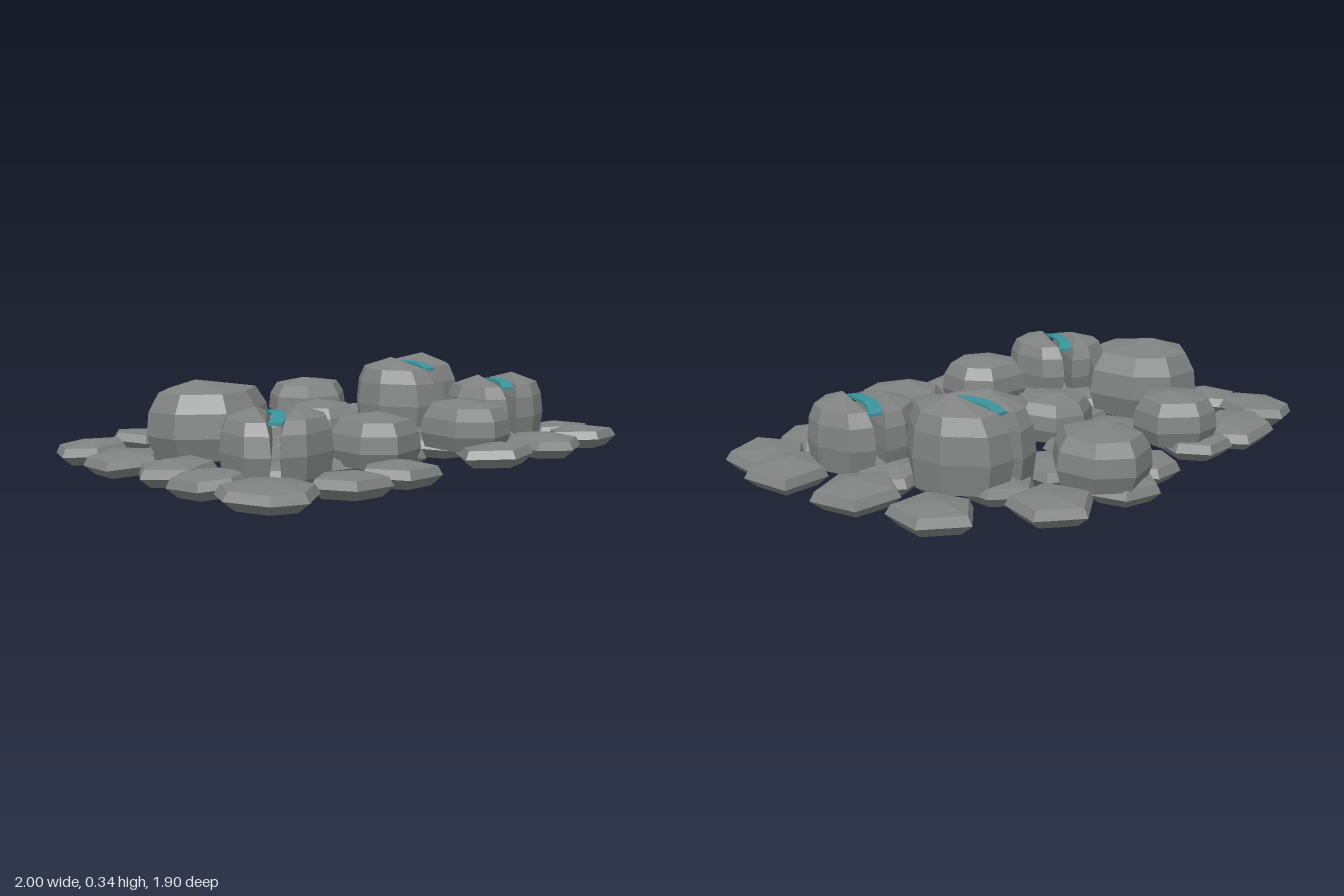
import * as THREE from 'three';

const stoneGrey = new THREE.MeshStandardMaterial({ color: 0x7f8281, flatShading: true });
stoneGrey.name = 'stoneGrey';
const crystalTeal = new THREE.MeshStandardMaterial({ color: 0x39919a, flatShading: true });
crystalTeal.name = 'crystalTeal';

// Seeded generator for small irregularities
let seed = 11;
function jitter(amount) {
  seed = (seed * 16807) % 2147483647;
  return (seed / 2147483647 - 0.5) * 2 * amount;
}

// Lofts an outline [[x, z], ...] through rings [height, scale] about a centre, closed by an apex
function loft(outline, rings, height, center, apex) {
  const pos = [];
  const n = outline.length;
  const point = ([h, s], j) => {
    const [x, z] = outline[j % n];
    return [center[0] + (x - center[0]) * s, h * height, center[1] + (z - center[1]) * s];
  };
  const top = [apex[0], height, apex[1]];
  const bottom = [center[0], 0, center[1]];
  const last = rings.length - 1;
  for (let j = 0; j < n; j++) {
    pos.push(...point(rings[0], j), ...point(rings[0], j + 1), ...bottom);
    for (let i = 0; i < last; i++) {
      const a = point(rings[i], j), b = point(rings[i], j + 1);
      const c = point(rings[i + 1], j), d = point(rings[i + 1], j + 1);
      pos.push(...a, ...c, ...b, ...b, ...c, ...d);
    }
    pos.push(...point(rings[last], j), ...top, ...point(rings[last], j + 1));
  }
  const geo = new THREE.BufferGeometry();
  geo.setAttribute('position', new THREE.Float32BufferAttribute(pos, 3));
  geo.computeVertexNormals();
  return geo;
}

const slabRings = [[0, 0.72], [0.42, 1], [0.78, 0.88]];
const boulderRings = [[0, 0.88], [0.3, 1], [0.62, 0.95], [0.86, 0.78]];
const halfRings = [[0, 0.92], [0.35, 1], [0.66, 0.93], [0.85, 0.76]];

// Irregular many-sided stone; "turn" is the angle of its first corner in degrees
function stone(name, rings, x, y, z, r, sides, turn, height, tilt) {
  const outline = [];
  for (let j = 0; j < sides; j++) {
    const t = THREE.MathUtils.degToRad(turn) + (j / sides) * Math.PI * 2 + jitter(0.1);
    const rr = r * (1 + jitter(0.06));
    outline.push([Math.cos(t) * rr, Math.sin(t) * rr]);
  }
  const apex = [jitter(r * 0.2), jitter(r * 0.2)];
  const mesh = new THREE.Mesh(loft(outline, rings, height, [0, 0], apex), stoneGrey);
  mesh.name = name;
  mesh.position.set(x, y, z);
  mesh.rotation.set(jitter(tilt), 0, jitter(tilt));
  return mesh;
}

// Flat paving stone resting near the ground
function slab(x, z, r, sides, turn) {
  const y = 0.01 + Math.abs(jitter(0.012));
  return stone('flatStone', slabRings, x, y, z, r, sides, turn, 0.08, 0.07);
}

// Boulder cracked into two halves with a wavy crystal vein along the crack
function splitBoulder(x, z, r, top, turn, veinLength) {
  const g = new THREE.Group();
  g.name = 'splitBoulder';
  const base = 0.06, h = top - base, gap = 0.013;
  const outline = [[gap, -0.92 * r], [0.5 * r, -0.88 * r], [0.92 * r, -0.3 * r],
    [0.95 * r, 0.25 * r], [0.5 * r, 0.85 * r], [gap, 0.98 * r]];
  for (let side = 0; side < 2; side++) {
    const geo = loft(outline, halfRings, h * (1 - side * 0.04), [0.42 * r, 0], [0.34 * r, 0.05 * r]);
    const half = new THREE.Mesh(geo, stoneGrey);
    half.name = side ? 'rightHalf' : 'leftHalf';
    half.position.y = base;
    half.rotation.y = side * Math.PI;
    g.add(half);
  }
  const strip = new THREE.BoxGeometry(0.044, 0.009, veinLength, 1, 1, 6);
  const p = strip.attributes.position;
  for (let i = 0; i < p.count; i++) {
    const u = p.getZ(i) / veinLength;
    p.setX(i, p.getX(i) + Math.sin(u * Math.PI * 2) * 0.011);
    p.setY(i, p.getY(i) - u * u * 0.08);
  }
  strip.computeVertexNormals();
  const vein = new THREE.Mesh(strip, crystalTeal);
  vein.name = 'crystalVein';
  vein.position.y = base + h * 0.88;
  g.add(vein);
  g.position.set(x, 0, z);
  g.rotation.y = turn;
  return g;
}

// Flat stones around the rim: x, z, sides, turn
const rimSlabs = [
  [0, -0.81, 5, -57], [0.35, -0.83, 5, -63], [0.57, -0.64, 5, -11], [0.79, -0.41, 5, -22],
  [0.86, -0.28, 5, -5], [0.71, -0.1, 6, -11], [0.52, 0.11, 5, -8], [0.15, 0.1, 5, 0],
  [0.2, 0.49, 5, 0], [0.05, 0.63, 5, 7], [-0.18, 0.79, 7, 86], [-0.38, 0.64, 6, 100],
  [-0.51, 0.46, 5, -12], [-0.72, 0.26, 5, 27], [-0.87, 0.1, 6, -54], [-0.73, -0.14, 6, -41],
];

// Flat stones inside the cluster, in rows of equal-sized hexagons: z, then the x positions
const innerRows = [
  [-0.63, -0.24, 0.15], [-0.47, -0.32, -0.05, 0.31, 0.47], [-0.27, -0.55, -0.17, 0.2, 0.58],
  [-0.1, -0.32, 0.05, 0.33], [0.07, -0.57, -0.18], [0.3, -0.28, -0.04], [0.52, -0.16],
];

// Domed boulders: x, z, radius, sides, turn, top height
const boulders = [
  [-0.17, -0.61, 0.165, 7, -20, 0.24], [-0.45, 0.16, 0.21, 8, -23, 0.315],
  [-0.5, -0.22, 0.15, 7, -4, 0.23], [-0.09, -0.12, 0.145, 7, -30, 0.21],
  [0.42, -0.03, 0.165, 7, 4, 0.23], [0.11, 0.32, 0.155, 7, 2, 0.23],
];

export function createModel() {
  const model = new THREE.Group();
  model.name = 'rockCluster';
  for (const [x, z, sides, turn] of rimSlabs) {
    model.add(slab(x, z, sides === 7 ? 0.16 : 0.138, sides, turn));
  }
  for (const [z, ...xs] of innerRows) {
    for (const x of xs) model.add(slab(x, z + jitter(0.02), 0.13, 6, jitter(30)));
  }
  for (const [x, z, r, sides, turn, top] of boulders) {
    model.add(stone('boulder', boulderRings, x, 0.06, z, r, sides, turn, top - 0.06, 0.04));
  }
  model.add(splitBoulder(-0.19, 0.49, 0.19, 0.275, 0.09, 0.25));
  model.add(splitBoulder(0.22, -0.53, 0.21, 0.34, 0.73, 0.26));
  model.add(splitBoulder(0.55, -0.33, 0.185, 0.29, 0.31, 0.25));
  return model;
}
